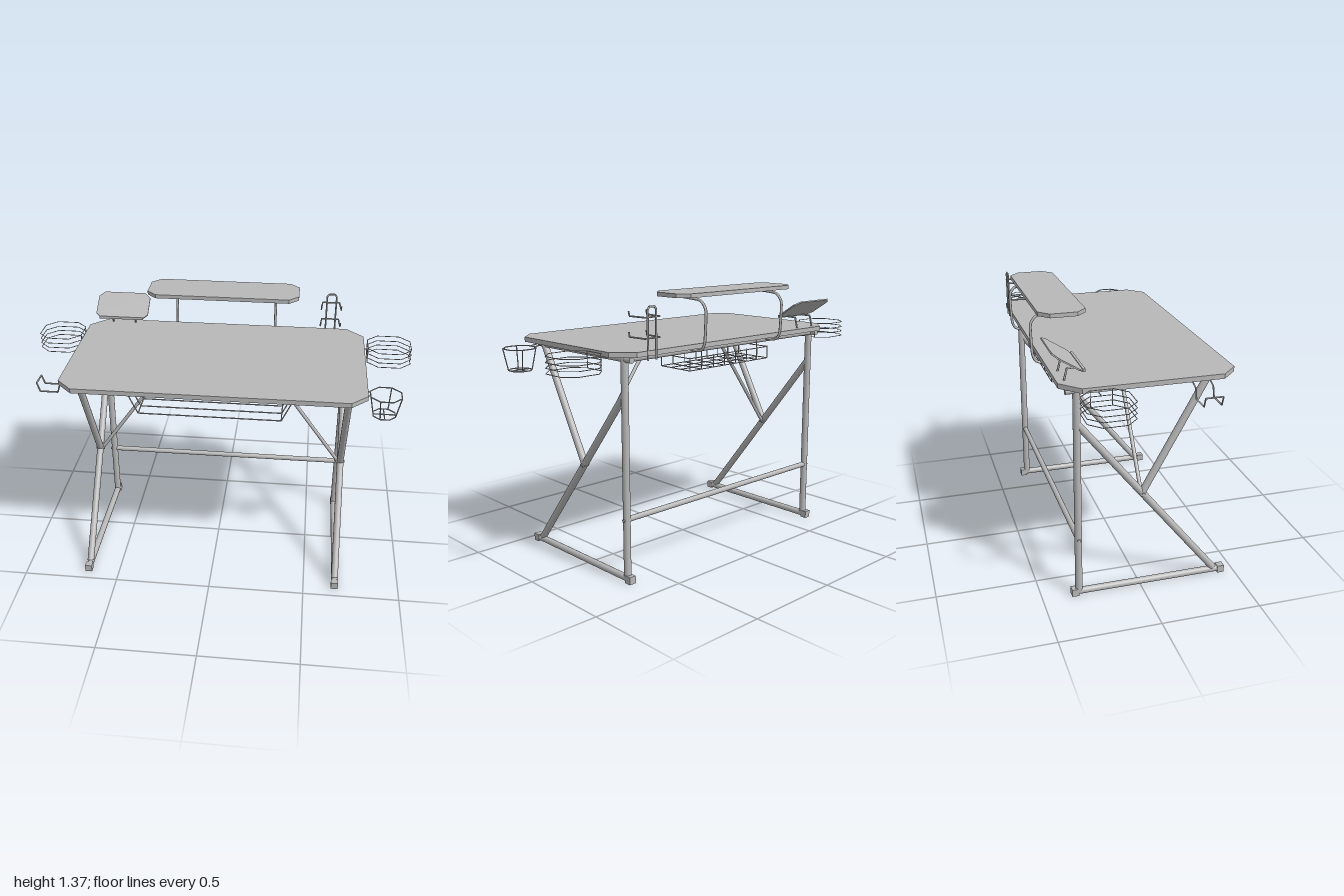
import * as THREE from 'three';
import { mergeGeometries } from 'three/addons/utils/BufferGeometryUtils.js';

const grey = new THREE.MeshStandardMaterial({ color: 0xb8b8b8 });
grey.name = 'satin grey';

const V = (p) => new THREE.Vector3(...p);

// Straight rod geometry between two points
function rod(a, b, r, sides = 16) {
  const A = V(a), B = V(b), d = B.clone().sub(A);
  const g = new THREE.CylinderGeometry(r, r, d.length(), sides);
  g.applyQuaternion(new THREE.Quaternion().setFromUnitVectors(new THREE.Vector3(0, 1, 0), d.normalize()));
  return g.translate(...A.add(B).multiplyScalar(0.5).toArray());
}

// Bent wire: rods joined end to end
function wire(points, r, closed = false) {
  const pts = closed ? [...points, points[0]] : points;
  return pts.slice(1).map((p, i) => rod(pts[i], p, r, 6));
}

const box = (w, h, d, x, y, z) => new THREE.BoxGeometry(w, h, d).translate(x, y, z);

// Flat panel with cut corners, outline in x/z, top at local y = thickness
function panel(outline, thickness) {
  const s = new THREE.Shape(outline.map(([x, z]) => new THREE.Vector2(x, -z)));
  return new THREE.ExtrudeGeometry(s, { depth: thickness, bevelEnabled: false }).rotateX(-Math.PI / 2);
}

function cutRect(x0, x1, z0, z1, cBack, cFront) {
  return [
    [x0 + cBack, z0], [x0, z0 + cBack], [x0, z1 - cFront], [x0 + cFront, z1],
    [x1 - cFront, z1], [x1, z1 - cFront], [x1, z0 + cBack], [x1 - cBack, z0],
  ];
}

export function createModel() {
  const root = new THREE.Group();
  root.name = 'desk';
  const add = (name, geos) => {
    const list = Array.isArray(geos) ? geos : [geos];
    const mesh = new THREE.Mesh(list.length > 1 ? mergeGeometries(list) : list[0], grey);
    mesh.name = name;
    root.add(mesh);
    return mesh;
  };

  // Table top and raised shelf
  add('tableTop', panel(cutRect(-0.75, 0.75, -0.4, 0.44, 0.09, 0.08), 0.024)).position.y = 1.1;
  add('shelf', panel(cutRect(-0.405, 0.395, -0.42, -0.19, 0.05, 0.05), 0.02)).position.y = 1.345;

  // Bent shelf brackets reaching round the back edge
  for (const x of [-0.278, 0.268]) {
    const path = new THREE.CatmullRomCurve3([
      [x, 1.34, -0.23], [x, 1.332, -0.38], [x, 1.32, -0.415], [x, 1.28, -0.44],
      [x, 1.14, -0.435], [x, 1.1, -0.42], [x, 1.088, -0.39], [x, 1.088, -0.33],
    ].map(V), false, 'catmullrom', 0.3);
    add('shelfBracket', new THREE.TubeGeometry(path, 40, 0.007, 8));
  }

  // Side frames, mirrored
  for (const s of [-1, 1]) {
    const x = 0.665 * s;
    add('rearPost', rod([x, 0.02, -0.317], [x, 1.1, -0.317], 0.018));
    add('foot', rod([x, 0.019, 0.44], [x, 0.019, -0.345], 0.017));
    add('footCaps', [
      box(0.037, 0.038, 0.035, x, 0.019, 0.43),
      box(0.037, 0.038, 0.035, x, 0.019, -0.337),
    ]);
    add('longDiagonal', rod([x, 0.03, 0.39], [x, 0.92, -0.315], 0.018));
    add('frontBrace', rod([x, 1.085, 0.31], [x, 0.51, -0.005], 0.018));
    add('topRail', rod([x, 1.085, 0.35], [x, 1.085, -0.37], 0.015));
    add('crossBrace', rod([0.645 * s, 0.53, 0], [0.25 * s, 1.075, 0], 0.0095));
    add('frameBolts', [
      rod([0.64 * s, 0.52, 0.003], [0.687 * s, 0.52, 0.003], 0.008),
      rod([0.64 * s, 0.315, -0.317], [0.687 * s, 0.315, -0.317], 0.008),
    ]);
  }
  add('stretcher', rod([-0.655, 0.317, -0.317], [0.655, 0.317, -0.317], 0.014));
  add('rearTopRail', rod([-0.665, 1.085, -0.33], [0.665, 1.085, -0.33], 0.015));
  add('middleTopRail', rod([-0.665, 1.085, 0], [0.665, 1.085, 0], 0.015));

  // Front basket under the top: trapezoid wires and side wires
  const tray = [];
  for (let i = 0; i < 6; i++) {
    const z = 0.07 + i * 0.072;
    tray.push(...wire([[-0.39, 1.1, z], [-0.345, 1.005, z], [0.345, 1.005, z], [0.39, 1.1, z]], 0.003));
  }
  for (const s of [-1, 1]) {
    tray.push(rod([0.385 * s, 1.09, 0.07], [0.385 * s, 1.09, 0.43], 0.003, 6));
    tray.push(rod([0.345 * s, 1.005, 0.07], [0.345 * s, 1.005, 0.43], 0.003, 6));
  }
  add('frontWireTray', tray);

  // Rear cable basket
  const basket = [];
  for (const y of [0.985, 1.045]) {
    basket.push(...wire([[-0.285, y, -0.345], [0.28, y, -0.345], [0.28, y, -0.14], [-0.285, y, -0.14]], 0.0025, true));
  }
  for (let i = 0; i < 8; i++) {
    const x = -0.285 + i * 0.0807;
    basket.push(...wire([[x, 1.05, -0.345], [x, 0.985, -0.345], [x, 0.985, -0.14], [x, 1.05, -0.14]], 0.0025));
  }
  for (const z of [-0.21, -0.28]) basket.push(rod([-0.285, 0.985, z], [0.28, 0.985, z], 0.0025, 6));
  for (const x of [-0.2, 0.2]) for (const z of [-0.14, -0.345]) {
    basket.push(rod([x, 0.985, z], [x, 1.1, z], 0.0025, 6));
  }
  add('rearWireBasket', basket);

  // Octagonal ring baskets at both sides
  for (const s of [-1, 1]) {
    const ring = cutRect(0.77, 0.995, -0.34, -0.12, 0.055, 0.055);
    const parts = [];
    for (const y of [1.04, 1.065, 1.09, 1.118]) {
      parts.push(...wire(ring.map(([x, z]) => [x * s, y, z]), 0.002, true));
    }
    for (const z of [-0.18, -0.28]) parts.push(rod([0.77 * s, 1.04, z], [0.77 * s, 1.118, z], 0.002, 6));
    parts.push(rod([0.7 * s, 1.09, -0.23], [0.77 * s, 1.09, -0.23], 0.003, 6));
    add('sideBasket', parts);
  }

  // Wire cup holder on the left side
  const cup = [];
  const octagon = (r, y) => Array.from({ length: 8 }, (_, i) => {
    const a = (i + 0.5) * Math.PI / 4;
    return [0.84 + r * Math.cos(a), y, 0.27 + r * Math.sin(a)];
  });
  const cupTop = octagon(0.081, 1.088), cupBase = octagon(0.058, 0.98);
  cup.push(...wire(cupTop, 0.003, true), ...wire(cupBase, 0.003, true));
  for (let i = 0; i < 8; i += 2) cup.push(rod(cupTop[i], cupBase[i], 0.003, 6));
  cup.push(rod([0.785, 0.98, 0.27], [0.895, 0.98, 0.27], 0.003, 6));
  cup.push(rod([0.84, 0.98, 0.215], [0.84, 0.98, 0.325], 0.003, 6));
  for (const z of [0.25, 0.29]) cup.push(rod([0.69, 1.1, z], [0.765, 1.088, z], 0.003, 6));
  add('cupHolder', cup);

  // Bag hook on the right side: one wire bent into a loop
  const side = [[-0.7, 1.098], [-0.76, 1.075], [-0.775, 1.025], [-0.865, 1.025], [-0.88, 1.07]];
  add('sideHook', wire([
    ...side.map(([x, y]) => [x, y, 0.215]),
    ...side.map(([x, y]) => [x, y, 0.3]).reverse(),
  ], 0.004, true));

  // Headset stand at the back: upright loop and two forked hooks
  const stand = wire([
    [0.545, 1.08, -0.4], [0.545, 1.31, -0.4], [0.555, 1.322, -0.4],
    [0.585, 1.322, -0.4], [0.595, 1.31, -0.4], [0.595, 1.08, -0.4],
  ], 0.005);
  for (const y of [1.275, 1.18]) {
    stand.push(...wire([
      [0.515, y + 0.022, -0.298], [0.515, y, -0.303], [0.522, y, -0.4],
      [0.612, y, -0.4], [0.62, y, -0.303], [0.62, y + 0.022, -0.298],
    ], 0.004));
  }
  add('headsetStand', stand);

  // Tilted tablet rest with front lip and two stems
  const rest = add('tabletRest', panel(cutRect(-0.143, 0.143, -0.086, 0.086, 0.03, 0.03), 0.007));
  rest.position.set(-0.567, 1.222, -0.358);
  rest.rotation.x = 0.57;
  add('tabletLip', box(0.24, 0.014, 0.012, -0.567, 1.184, -0.285));
  for (const x of [-0.63, -0.505]) {
    add('tabletStem', wire([[x, 1.1, -0.37], [x, 1.18, -0.35], [x, 1.182, -0.288]], 0.005));
  }
  return root;
}
